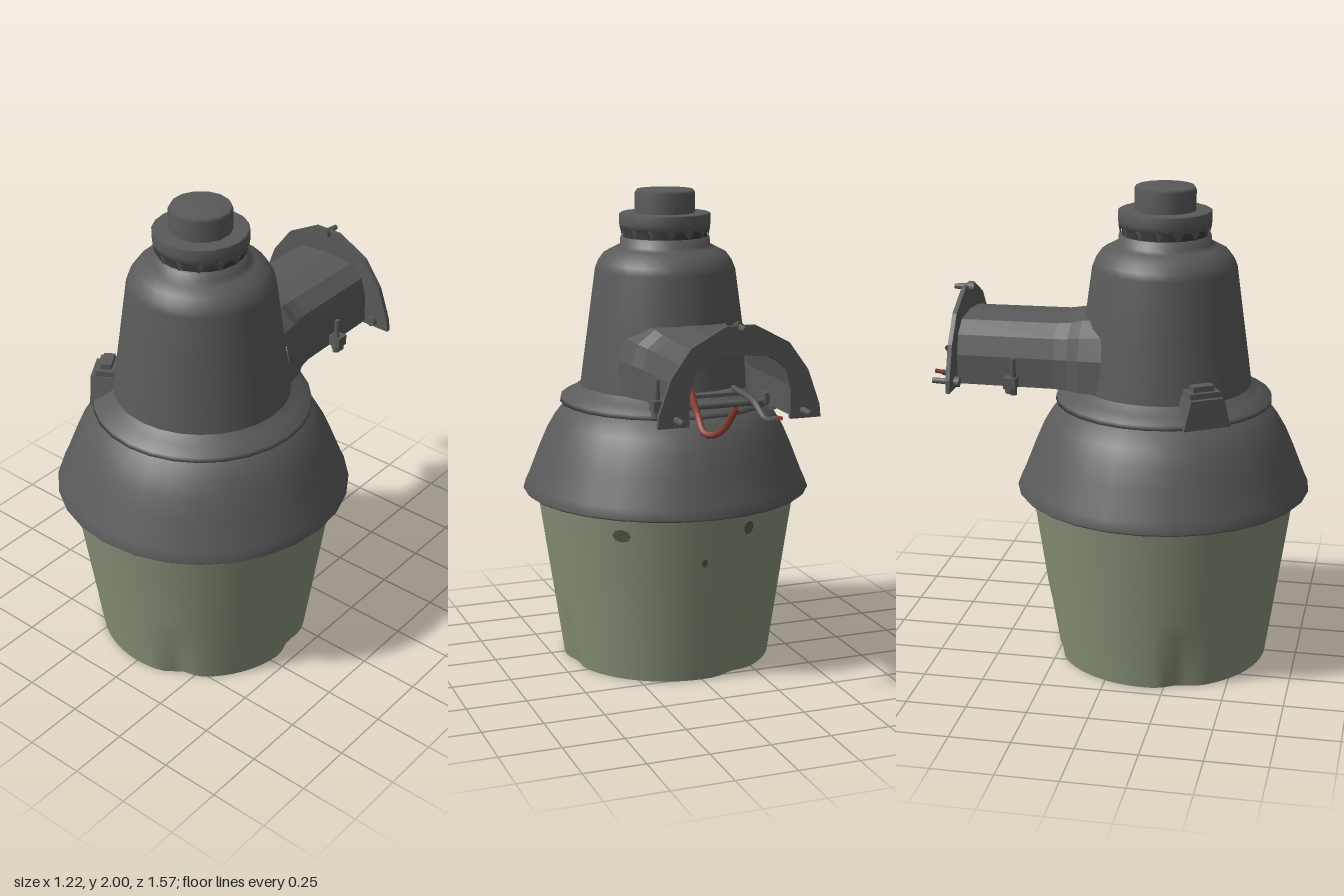
import * as THREE from 'three';
import { ParametricGeometry } from 'three/addons/geometries/ParametricGeometry.js';

const AXIS_Z = 0.17; // the lamp body sits forward of the mounting arm

export function createModel() {
  const model = new THREE.Group();
  const mat = (name, color) => new THREE.MeshStandardMaterial({ name, color, side: THREE.DoubleSide });
  const metal = mat('grey metal', 0x5a5a5a);
  const dark = mat('dark recess', 0x3a3a3a);
  const glass = mat('green glass', 0x88927a);
  const stain = mat('glass stain', 0x55594c);
  const red = mat('red wire', 0x863a2c);

  const body = new THREE.Group();
  body.name = 'lampBody';
  body.position.z = AXIS_Z;
  model.add(body);

  const add = (parent, name, geo, material, x = 0, y = 0, z = 0) => {
    const m = new THREE.Mesh(geo, material);
    m.name = name;
    m.position.set(x, y, z);
    parent.add(m);
    return m;
  };
  const lathe = (name, pts, material, sides) =>
    add(body, name, new THREE.LatheGeometry(pts.map(p => new THREE.Vector2(...p)), sides), material);

  // Open tapered refractor with four shallow dents along its lower edge
  const glassRadius = y => 0.445 + (0.553 - 0.445) * y / 0.74;
  const dents = [63, 162, 250, 352].map(d => d * Math.PI / 180);
  const bowl = new ParametricGeometry((u, v, p) => {
    const a = -u * Math.PI * 2, y = v * 0.74;
    let r = glassRadius(y);
    for (const d of dents) {
      const off = Math.abs(Math.atan2(Math.sin(a - d), Math.cos(a - d)));
      r -= 0.025 * Math.max(0, 1 - off / 0.2) * Math.max(0, 1 - y / 0.3);
    }
    p.set(Math.cos(a) * r, y, Math.sin(a) * r);
  }, 64, 12);
  add(body, 'glassRefractor', bowl, glass);

  // Stains lying on the glass: x, z direction, height, width, tall
  for (const [x, z, y, w, h] of [[0.34, -0.42, 0.65, 0.04, 0.028], [-0.17, -0.5, 0.66, 0.025, 0.03], [0.02, -0.53, 0.53, 0.013, 0.018]]) {
    const a = Math.atan2(x, z), r = glassRadius(y) + 0.003;
    const s = add(body, 'glassStain', new THREE.CircleGeometry(1, 8), stain, Math.sin(a) * r, y, Math.cos(a) * r);
    s.scale.set(w, h, 1);
    s.rotation.set(0.145, a, 0, 'YXZ');
  }

  // Hood, with its rolled rim and the step under it
  lathe('hood', [[0.54, 0.735], [0.6, 0.73], [0.61, 0.74], [0.592, 0.78], [0.545, 0.9], [0.51, 0.98], [0.475, 1.04], [0.42, 1.11], [0.36, 1.125]], metal, 28);

  // Ballast housing
  lathe('housingFlange', [[0.36, 1.11], [0.448, 1.112], [0.445, 1.132], [0.40, 1.155], [0.362, 1.185]], metal, 28);
  lathe('housing', [[0.362, 1.18], [0.35, 1.27], [0.325, 1.45], [0.295, 1.67], [0.283, 1.7], [0.258, 1.735], [0.215, 1.758], [0.19, 1.77], [0.187, 1.802], [0.16, 1.805]], metal, 28);

  // Notched collar and photocell cap
  lathe('neckRecess', [[0.176, 1.79], [0.176, 1.85]], dark, 20);
  lathe('collar', [[0.17, 1.835], [0.187, 1.835], [0.191, 1.86], [0.191, 1.898], [0.185, 1.902], [0.12, 1.902]], metal, 20);
  for (let i = 0; i < 14; i++) {
    const a = (i + 0.5) / 14 * Math.PI * 2;
    const tooth = add(body, 'collarTooth', new THREE.ConeGeometry(0.03, 0.04, 4), metal, Math.sin(a) * 0.181, 1.82, Math.cos(a) * 0.181);
    tooth.rotation.set(Math.PI, a, 0, 'YXZ');
    tooth.scale.z = 0.25;
  }
  lathe('photocellCap', [[0.126, 1.895], [0.126, 1.985], [0.118, 1.998], [0, 2]], metal, 14);

  // Latch block on the housing flange
  const latch = new THREE.Group();
  latch.name = 'latch';
  latch.position.set(-0.32, 0, 0.2);
  latch.rotation.y = Math.atan2(-0.32, 0.2);
  body.add(latch);
  const block = new THREE.Shape();
  block.moveTo(-0.1, 1.11);
  block.lineTo(0.1, 1.11);
  block.lineTo(0.07, 1.23);
  block.lineTo(-0.07, 1.23);
  add(latch, 'latchBlock', new THREE.ExtrudeGeometry(block, { depth: 0.17, bevelEnabled: false }), metal, 0, 0, -0.1);
  add(latch, 'latchPlate', new THREE.BoxGeometry(0.13, 0.025, 0.08), metal, 0, 1.24, 0.01);
  add(latch, 'latchKnob', new THREE.BoxGeometry(0.09, 0.04, 0.045), metal, 0, 1.255, 0.01);

  // Mounting arm: an open-bottomed arch that flares where it meets the housing
  const arch = [[-0.215, 1.19], [-0.213, 1.31], [-0.19, 1.39], [-0.13, 1.44], [0, 1.452], [0.13, 1.44], [0.19, 1.39], [0.213, 1.31], [0.215, 1.19]];
  const stations = [[-0.66, 1], [-0.25, 1.02], [-0.19, 1.08], [-0.14, 1.2], [-0.04, 1.3]];
  add(model, 'mountingArm', new ParametricGeometry((u, v, p) => {
    const [x, y] = arch[Math.round(u * 8)];
    const [z, s] = stations[Math.round(v * 4)];
    p.set(x * s, 1.19 + (y - 1.19) * (1 + (s - 1) * 0.5), z);
  }, 8, 4), metal);
  add(model, 'armFloor', new THREE.BoxGeometry(0.42, 0.015, 0.12), metal, 0, 1.195, -0.17);

  // Arched wall flange
  const plate = new THREE.Shape();
  const outline = [[0.335, 1.18], [0.33, 1.23], [0.28, 1.37], [0.2, 1.48], [0.06, 1.555]];
  plate.moveTo(...outline[0]);
  outline.slice(1).forEach(([x, y]) => plate.lineTo(x, y));
  outline.slice().reverse().forEach(([x, y]) => plate.lineTo(-x, y));
  arch.forEach(([x, y]) => plate.lineTo(x * 0.97, y === 1.19 ? 1.18 : y - 0.01));
  add(model, 'wallFlange', new THREE.ExtrudeGeometry(plate, { depth: 0.018, bevelEnabled: false }), metal, 0, 0, -0.67);

  // Flange bolts
  for (const [x, y, z] of [[-0.26, 1.21, -0.745], [0.26, 1.21, -0.745], [0, 1.545, -0.715]]) {
    const length = -0.63 - z;
    const shank = add(model, 'flangeBolt', new THREE.CylinderGeometry(0.017, 0.011, length, 8), metal, x, y, z + length / 2);
    shank.rotation.x = Math.PI / 2;
    const head = add(model, 'boltHead', new THREE.CylinderGeometry(0.022, 0.022, 0.022, 6), metal, x, y, -0.642);
    head.rotation.x = Math.PI / 2;
  }

  // Clamp lugs and screws on both sides of the arm
  for (const s of [-1, 1]) {
    add(model, 'clampLug', new THREE.BoxGeometry(0.07, 0.045, 0.05), metal, s * 0.235, 1.215, -0.42);
    add(model, 'clampScrew', new THREE.CylinderGeometry(0.01, 0.016, 0.15, 8), metal, s * 0.245, 1.24, -0.41);
    add(model, 'clampNut', new THREE.CylinderGeometry(0.025, 0.025, 0.025, 6), metal, s * 0.245, 1.185, -0.42);
  }
  const bar = add(model, 'clampBar', new THREE.CylinderGeometry(0.014, 0.014, 0.46, 8), metal, 0, 1.2, -0.42);
  bar.rotation.z = Math.PI / 2;

  // Supply wires
  const wire = (name, pts, r, material) => add(model, name,
    new THREE.TubeGeometry(new THREE.CatmullRomCurve3(pts.map(p => new THREE.Vector3(...p))), 16, r, 6), material);
  wire('redWire', [[0.1, 1.26, -0.4], [0.14, 1.2, -0.58], [0.14, 1.145, -0.66], [0.1, 1.165, -0.72], [0.06, 1.265, -0.775]], 0.014, red);
  wire('greyWire', [[-0.08, 1.26, -0.4], [-0.09, 1.24, -0.58], [-0.1, 1.19, -0.68], [-0.12, 1.205, -0.745]], 0.012, metal);
  wire('greyWireTip', [[-0.12, 1.205, -0.74], [-0.122, 1.21, -0.775]], 0.009, red);

  return model;
}
